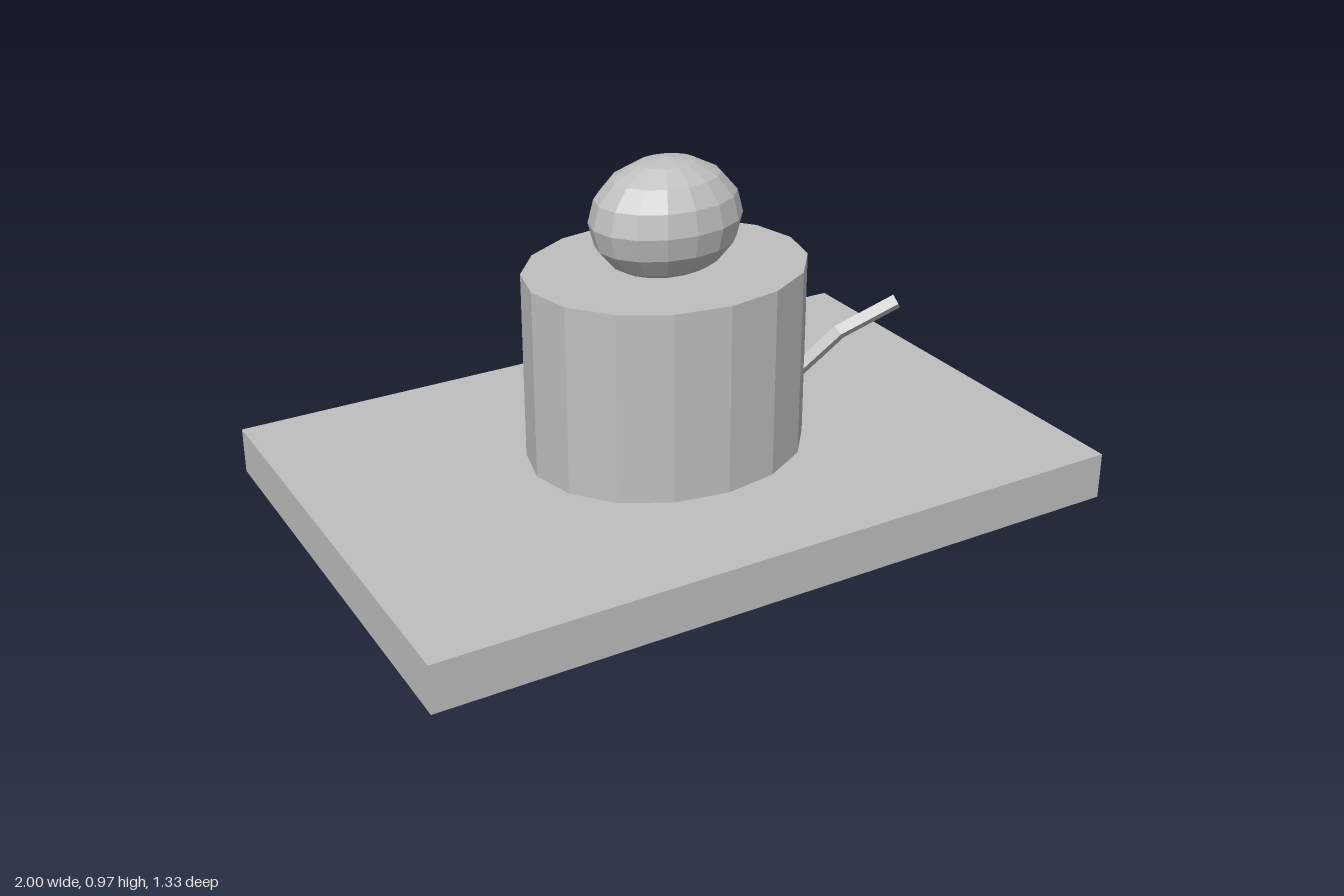
import * as THREE from 'three';

// Square bar swept along a bent path, with its diagonals upright and sideways
function bentBar(path, radius) {
  const across = path[path.length - 1].clone().sub(path[0]).setY(0).normalize();
  const side = new THREE.Vector3(-across.z, 0, across.x);
  const last = path.length - 1;
  const positions = [];
  const index = [];
  path.forEach((p, i) => {
    const dirIn = p.clone().sub(path[Math.max(i - 1, 0)]).normalize();
    const dirOut = path[Math.min(i + 1, last)].clone().sub(p).normalize();
    const dir = dirIn.add(dirOut).normalize();
    const up = new THREE.Vector3().crossVectors(dir, side).negate();
    for (const [s, u] of [[1, 0], [0, 1], [-1, 0], [0, -1]]) {
      const v = p.clone().addScaledVector(side, s * radius).addScaledVector(up, u * radius);
      positions.push(v.x, v.y, v.z);
    }
    if (i === last) return;
    for (let j = 0; j < 4; j++) {
      const a = i * 4 + j, b = i * 4 + (j + 1) % 4;
      index.push(a, b + 4, b, a, a + 4, b + 4);
    }
  });
  // End caps
  const e = last * 4;
  index.push(0, 1, 2, 0, 2, 3, e, e + 3, e + 2, e, e + 2, e + 1);
  const indexed = new THREE.BufferGeometry();
  indexed.setAttribute('position', new THREE.Float32BufferAttribute(positions, 3));
  indexed.setIndex(index);
  const geometry = indexed.toNonIndexed();
  geometry.computeVertexNormals();
  return geometry;
}

export function createModel() {
  const group = new THREE.Group();
  const grey = new THREE.MeshStandardMaterial({ color: 0xbfbfbf, flatShading: true });
  grey.name = 'light grey';

  function add(name, geometry, y = 0) {
    const mesh = new THREE.Mesh(geometry, grey);
    mesh.name = name;
    mesh.position.y = y;
    group.add(mesh);
  }

  // Flat slab
  add('base', new THREE.BoxGeometry(2, 0.133, 1.333), 0.0665);

  // Oval drum
  add('body', new THREE.CylinderGeometry(0.4, 0.4, 0.534, 16).scale(1, 1, 0.8333), 0.4);

  // Wide ball sunk slightly into the drum
  add('knob', new THREE.SphereGeometry(0.1667, 16, 8).scale(1.3, 1, 1), 0.8);

  // Bent lever on the left side
  add('lever', bentBar([
    new THREE.Vector3(0.325, 0.28, 0.098),
    new THREE.Vector3(0.46, 0.43, 0.164),
    new THREE.Vector3(0.6, 0.517, 0.232),
  ], 0.022));

  return group;
}
